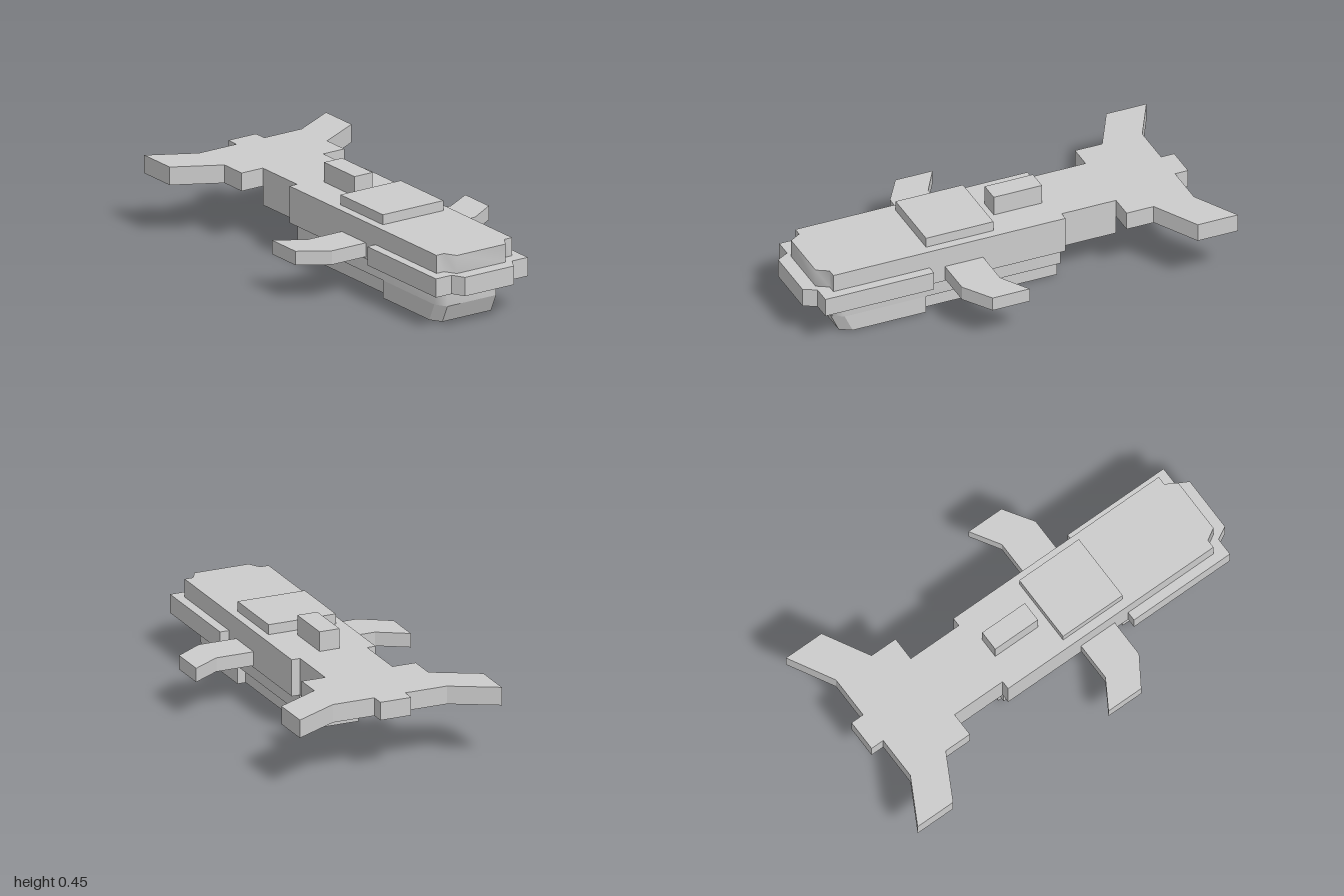
import * as THREE from 'three';
import { toCreasedNormals } from 'three/addons/utils/BufferGeometryUtils.js';

const material = new THREE.MeshStandardMaterial({ color: 0xcccccc });

// Horizontal slab between y0 and y1 from a plan outline of [x, z] points
function slab(outline, y0, y1) {
  const shape = new THREE.Shape(outline.map(([x, z]) => new THREE.Vector2(x, -z)));
  const geo = new THREE.ExtrudeGeometry(shape, { depth: y1 - y0, bevelEnabled: false });
  return geo.rotateX(-Math.PI / 2).translate(0, y0, 0);
}

// Completes a half outline by mirroring it across x = 0
const mirrored = (half) => [...half, ...half.map(([x, z]) => [-x, z]).reverse()];

export function createModel() {
  const model = new THREE.Group();
  model.name = 'whale';
  const add = (name, geo) => {
    const mesh = new THREE.Mesh(geo, material);
    mesh.name = name;
    model.add(mesh);
    return mesh;
  };
  const box = (name, halfWidth, y0, y1, z0, z1) =>
    add(name, new THREE.BoxGeometry(2 * halfWidth, y1 - y0, z1 - z0)
      .translate(0, (y0 + y1) / 2, (z0 + z1) / 2));
  const smooth = (geo) => toCreasedNormals(geo, 1.05);

  // Back and head, with a stepped, chamfered snout
  add('upperBody', smooth(slab(mirrored([
    [0.21, -0.275], [0.21, 0.88], [0.168, 0.88], [0.135, 0.935],
  ]), 0.265, 0.352)));

  // Wider jaw layer, narrowing behind the head
  add('jaw', smooth(slab(mirrored([
    [0.21, -0.275], [0.21, 0.4], [0.255, 0.4], [0.255, 0.94], [0.168, 0.94], [0.135, 1.0],
  ]), 0.175, 0.265)));

  // Belly with chamfered front corners
  add('upperBelly', smooth(slab(mirrored([
    [0.168, -0.27], [0.168, 0.805], [0.135, 0.86],
  ]), 0.085, 0.175)));

  // Underside, narrower at the rear, with the chin sloping back
  const keel = slab(mirrored([
    [0.127, -0.27], [0.127, 0.4], [0.168, 0.4], [0.168, 0.805], [0.135, 0.86],
  ]), 0, 0.085);
  const pos = keel.attributes.position;
  for (let i = 0; i < pos.count; i++) {
    if (pos.getY(i) < 0.04 && pos.getZ(i) > 0.5) pos.setZ(i, pos.getZ(i) - 0.04);
  }
  keel.computeVertexNormals();
  add('lowerBelly', keel);

  // Raised back plate, dorsal fin and tail stock
  box('backPlate', 0.168, 0.352, 0.4, 0.065, 0.4);
  box('dorsalFin', 0.05, 0.352, 0.447, -0.23, 0.01);
  box('tailStock', 0.168, 0.175, 0.352, -0.545, -0.275);

  // Tail flukes
  add('tailFlukes', slab(mirrored([
    [0.285, -0.545], [0.285, -0.68], [0.505, -0.8], [0.505, -1.0],
    [0.285, -0.88], [0.077, -0.88], [0.077, -0.945],
  ]), 0.265, 0.352));

  // Side flippers
  const flipper = [
    [0.19, 0.135], [0.397, 0.135], [0.537, 0.05], [0.537, 0.235], [0.397, 0.325], [0.19, 0.325],
  ];
  add('leftFlipper', slab(flipper, 0.185, 0.252));
  add('rightFlipper', slab(flipper.map(([x, z]) => [-x, z]), 0.185, 0.252));

  return model;
}
